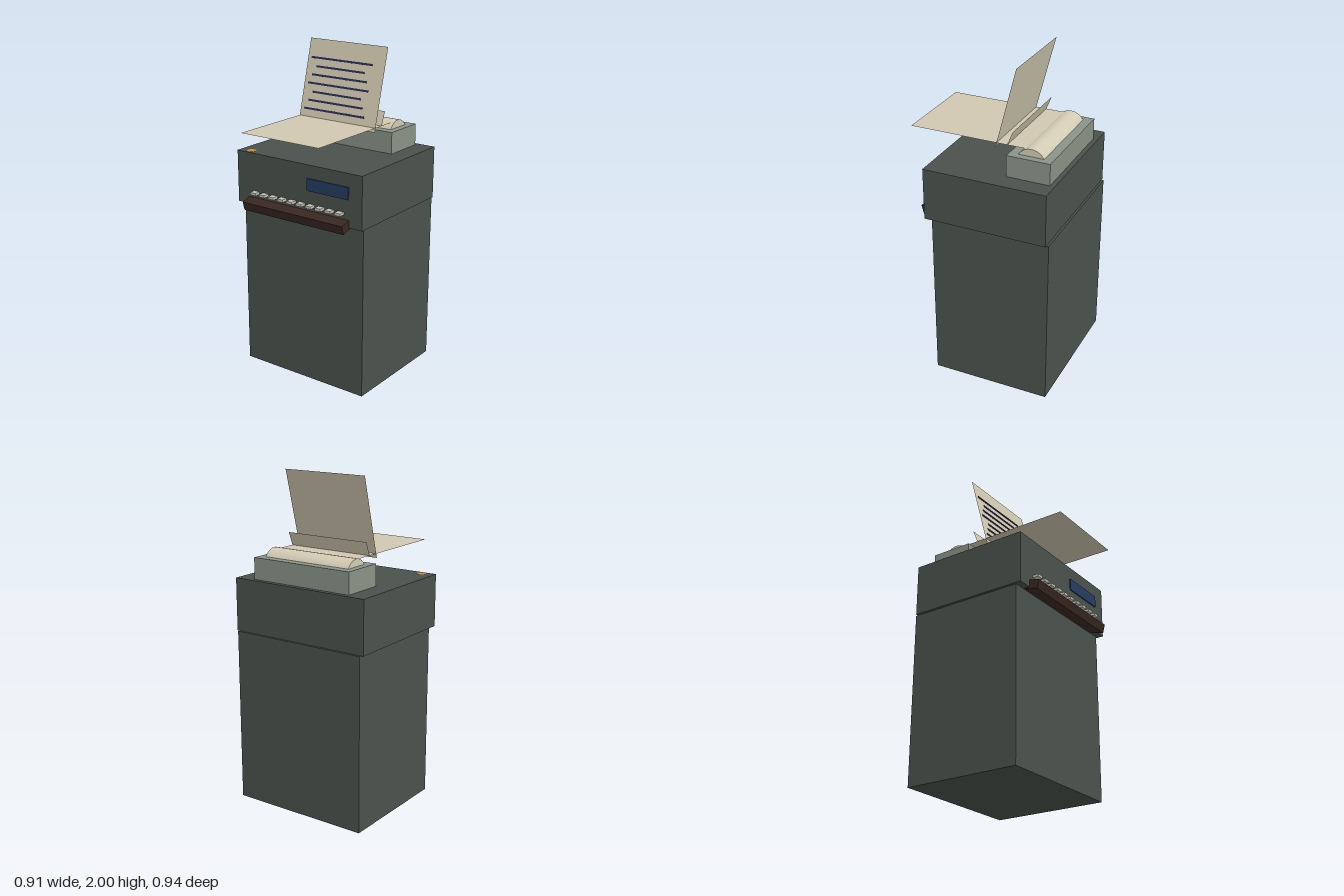
import * as THREE from 'three';

const mat = (color, side = THREE.FrontSide) => {
  const m = new THREE.MeshStandardMaterial({ side });
  m.color.set(color);
  return m;
};

export function createModel() {
  const model = new THREE.Group();
  const body = mat(0x4a524d), trayGrey = mat(0x8a9488), wood = mat(0x3a2820);
  const keyMat = mat(0xc8c6ba), glass = mat(0x263c62), ink = mat(0x2a2c58), amber = mat(0xd08a30);
  const rollMat = mat(0xd4ccb5), paper = mat(0xd0c8b0, THREE.DoubleSide);

  const add = (name, geometry, material, x, y, z, parent = model) => {
    const mesh = new THREE.Mesh(geometry, material);
    mesh.name = name;
    mesh.position.set(x, y, z);
    parent.add(mesh);
    return mesh;
  };
  // Box given by its limits on each axis
  const box = (name, material, [x0, x1], [y0, y1], [z0, z1], parent) =>
    add(name, new THREE.BoxGeometry(x1 - x0, y1 - y0, z1 - z0), material,
      (x0 + x1) / 2, (y0 + y1) / 2, (z0 + z1) / 2, parent);

  // Cabinet, overhanging head and paper housing
  box('cabinet', body, [-0.437, 0.437], [0, 1.06], [-0.468, 0.265]);
  box('head', body, [-0.453, 0.453], [1.06, 1.38], [-0.454, 0.305]);
  box('rollHousing', trayGrey, [-0.335, 0.335], [1.38, 1.51], [-0.425, -0.162]);

  // Paper roll, half sunk into the housing
  const roll = add('paperRoll', new THREE.CylinderGeometry(0.09, 0.09, 0.584, 32), rollMat, 0, 1.465, -0.293);
  roll.rotation.z = Math.PI / 2;

  // Display window and indicator lamp
  box('display', glass, [0.071, 0.362], [1.226, 1.3], [0.29, 0.312]);
  add('indicatorLamp', new THREE.CylinderGeometry(0.028, 0.028, 0.02, 16), amber, -0.375, 1.371, 0.268);

  // Sloped key rail with a row of keys above it
  const rail = add('keyRail', new THREE.BoxGeometry(0.73, 0.055, 0.12), wood, 0, 1.077, 0.307);
  rail.rotation.x = 0.26;
  const keys = new THREE.Group();
  keys.name = 'keys';
  model.add(keys);
  for (let i = 0; i < 10; i++) {
    const x = -0.309 + i * 0.0687;
    box('key', keyMat, [x - 0.0205, x + 0.0205], [1.132, 1.148], [0.3, 0.344], keys);
  }

  // Flat paper feeding out over the front
  const feed = add('flatPaper', new THREE.PlaneGeometry(0.554, 0.74), paper, 0, 1.545, 0.098);
  feed.rotation.x = -Math.PI / 2;

  // Short tear strip behind the printed sheet
  const strip = add('tearStrip', new THREE.PlaneGeometry(0.554, 0.088), paper, 0, 1.586, -0.157);
  strip.rotation.x = -0.38;

  // Printed sheet leaning back, with ruled lines of print
  const sheet = new THREE.Group();
  sheet.name = 'printedSheet';
  sheet.position.set(0, 1.76, -0.131);
  sheet.rotation.x = -0.255;
  model.add(sheet);
  add('sheet', new THREE.PlaneGeometry(0.556, 0.496), paper, 0, 0, 0, sheet);
  const widths = [0.44, 0.35, 0.395];
  for (let i = 0; i < 7; i++) {
    add('printLine', new THREE.BoxGeometry(widths[i % 3], 0.012, 0.004), ink,
      -0.03, 0.134 - i * 0.0513, 0.003, sheet);
  }
  return model;
}
